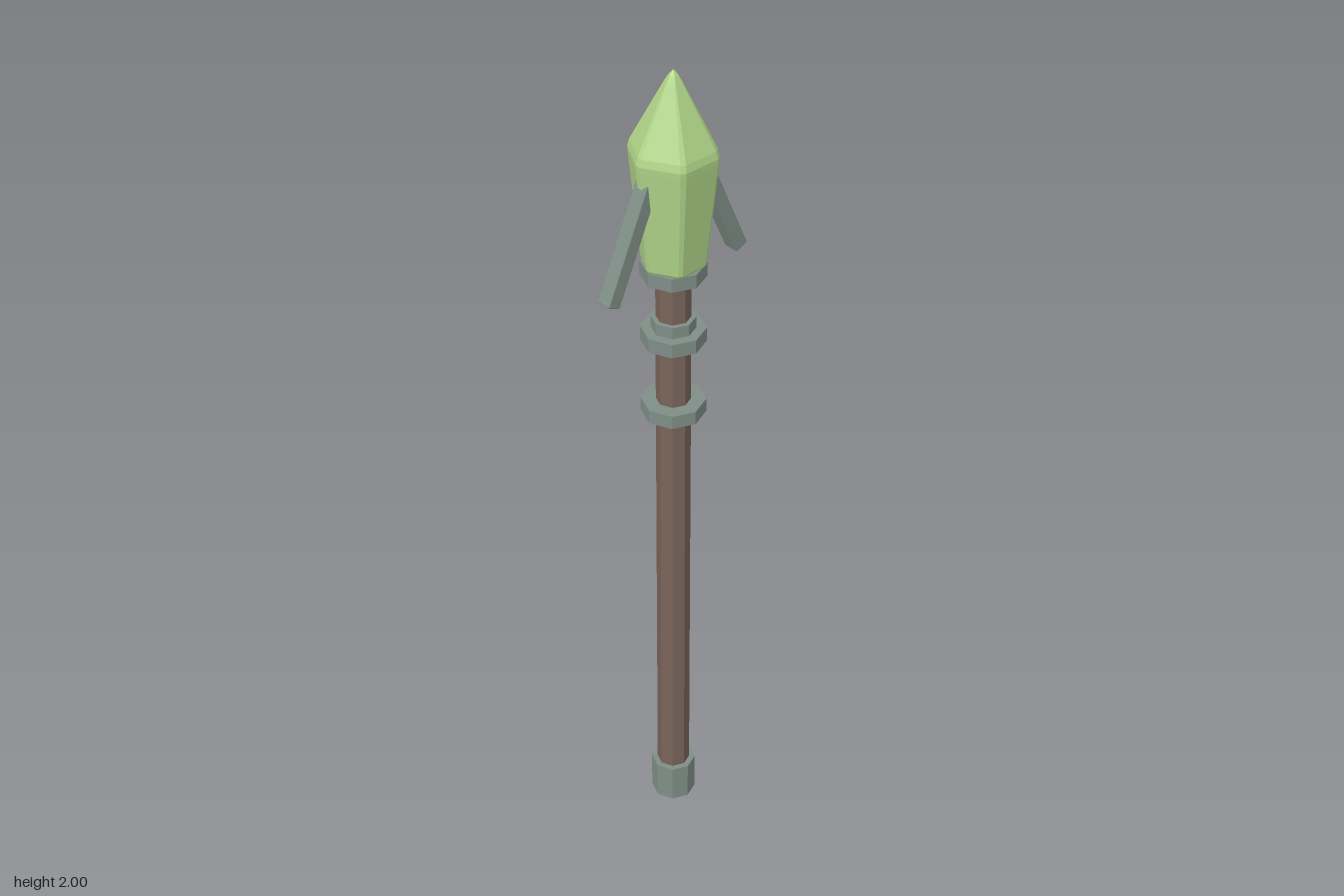
import * as THREE from 'three';
import { RoundedBoxGeometry } from 'three/addons/geometries/RoundedBoxGeometry.js';

const make = (name, color) => {
  const m = new THREE.MeshStandardMaterial({ color });
  m.name = name;
  return m;
};

// Hexagonal loft with cut corners; rows are [y, corner radius]
function hexLoft(rows, cut) {
  const pos = [];
  const ring = ([y, r]) => {
    const pts = [];
    const corner = (i) => new THREE.Vector3(r * Math.cos(i * Math.PI / 3), y, r * Math.sin(i * Math.PI / 3));
    for (let i = 0; i < 6; i++) {
      pts.push(corner(i).lerp(corner(i - 1), cut), corner(i).lerp(corner(i + 1), cut));
    }
    return pts;
  };
  const tri = (...v) => v.forEach((p) => pos.push(p.x, p.y, p.z));
  const rings = rows.map(ring);
  for (let k = 0; k < rings.length - 1; k++) {
    for (let i = 0; i < 12; i++) {
      const j = (i + 1) % 12, lo = rings[k], hi = rings[k + 1];
      tri(lo[i], hi[i], hi[j]);
      tri(lo[i], hi[j], lo[j]);
    }
  }
  // End caps
  const first = rings[0], last = rings[rings.length - 1];
  for (let i = 1; i < 11; i++) {
    tri(first[0], first[i], first[i + 1]);
    tri(last[0], last[i + 1], last[i]);
  }
  const g = new THREE.BufferGeometry();
  g.setAttribute('position', new THREE.Float32BufferAttribute(pos, 3));
  g.computeVertexNormals();
  return g;
}

export function createModel() {
  const wood = make('brown wood', 0x7a645a);
  const metal = make('grey metal', 0x7f8e87);
  const stone = make('green stone', 0xb0d488);
  const group = new THREE.Group();

  const add = (name, geometry, material) => {
    const mesh = new THREE.Mesh(geometry, material);
    mesh.name = name;
    group.add(mesh);
    return mesh;
  };
  // Eight-sided faceted rod or ring from y0 to y1
  const rod = (name, r, y0, y1, material) => {
    const g = new THREE.CylinderGeometry(r, r, y1 - y0, 8).toNonIndexed();
    g.computeVertexNormals();
    add(name, g, material).position.y = (y0 + y1) / 2;
  };

  // Shaft and its metal fittings
  rod('shaft', 0.039, 0, 1.56, wood);
  rod('buttCap', 0.053, 0.006, 0.105, metal);
  rod('lowerCollar', 0.073, 1.16, 1.193, metal);
  rod('middleCollar', 0.073, 1.348, 1.382, metal);
  rod('middleCollarNeck', 0.05, 1.38, 1.41, metal);
  rod('headCollar', 0.073, 1.515, 1.548, metal);

  // Pointed crystal head
  add('head', hexLoft([
    [1.545, 0.07], [1.553, 0.075], [1.8, 0.101], [1.815, 0.102], [1.832, 0.097],
    [1.975, 0.02], [1.99, 0.011], [2, 0.002],
  ], 0.07), stone);

  // Swept-back barbs
  const tilt = THREE.MathUtils.degToRad(24), length = 0.31;
  for (const side of [-1, 1]) {
    const barb = add(side > 0 ? 'leftBarb' : 'rightBarb',
      new RoundedBoxGeometry(0.034, length, 0.038, 1, 0.003), metal);
    barb.position.set(side * (0.184 - Math.sin(tilt) * length / 2), 1.516 + Math.cos(tilt) * length / 2, 0);
    barb.rotation.z = side * tilt;
  }
  return group;
}
